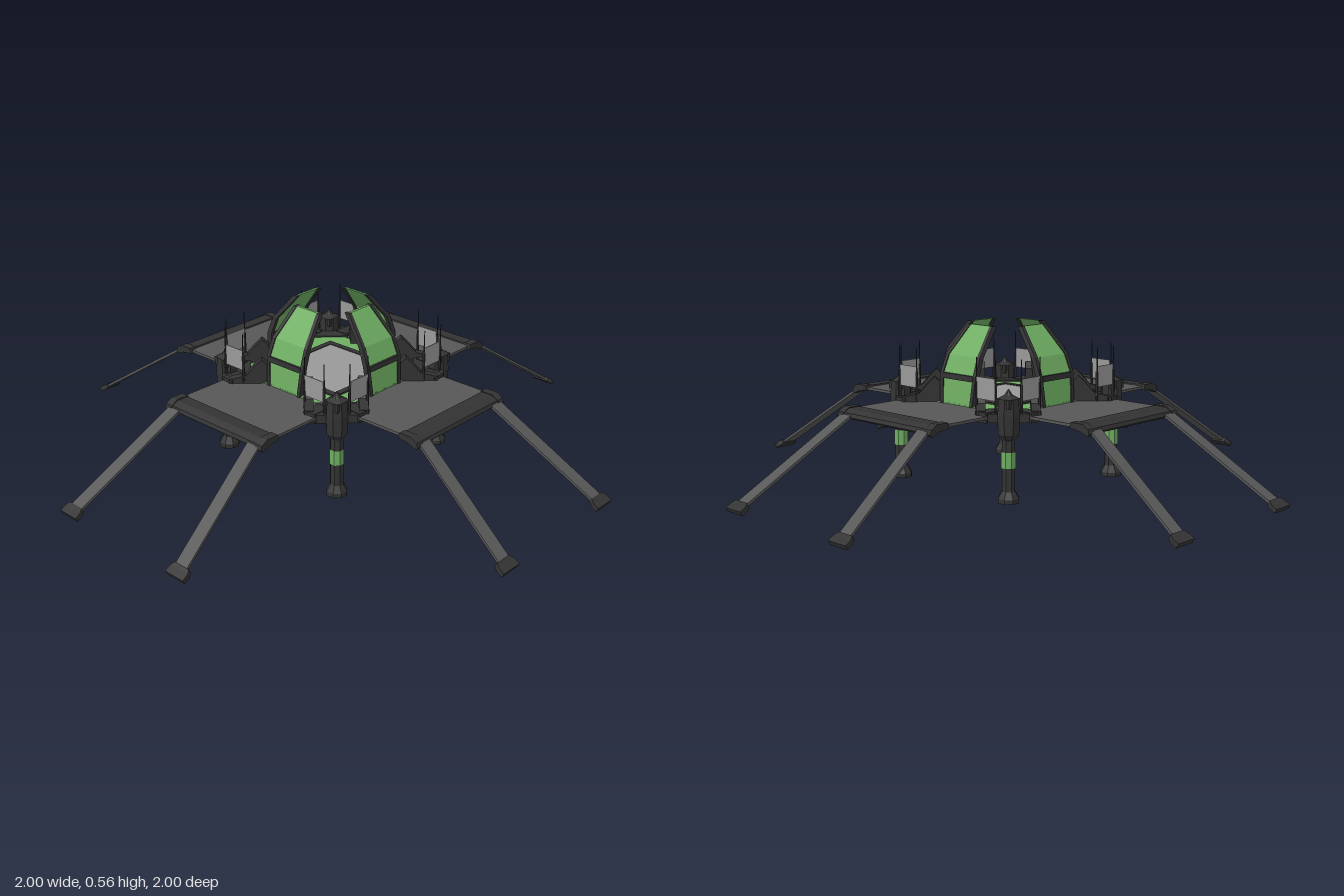
import * as THREE from 'three';

const paint = (color) => new THREE.MeshStandardMaterial({ color, flatShading: true });
const GREEN = paint(0x6fae62);
const DARK = paint(0x333333);
const GREY = paint(0x575757);
const LIGHT = paint(0x999999);

function add(parent, name, geometry, material, x = 0, y = 0, z = 0) {
  const mesh = new THREE.Mesh(geometry, material);
  mesh.name = name;
  mesh.position.set(x, y, z);
  parent.add(mesh);
  return mesh;
}

const box = (w, h, d) => new THREE.BoxGeometry(w, h, d);

// Closed slab through rows [x0, x1, y, z]; (dy, dz) leads to its second face
function slab(rows, dy, dz) {
  const loops = rows.map(([x0, x1, y, z]) => [
    [x0, y, z], [x1, y, z], [x1, y + dy, z + dz], [x0, y + dy, z + dz],
  ]);
  const points = [];
  const quad = (a, b, c, d) => points.push(...a, ...b, ...c, ...a, ...c, ...d);
  for (let i = 0; i < loops.length - 1; i++) {
    for (let k = 0; k < 4; k++) {
      const n = (k + 1) % 4;
      quad(loops[i][k], loops[i][n], loops[i + 1][n], loops[i + 1][k]);
    }
  }
  const first = loops[0], last = loops[loops.length - 1];
  quad(first[3], first[2], first[1], first[0]);
  quad(...last);
  const g = new THREE.BufferGeometry();
  g.setAttribute('position', new THREE.Float32BufferAttribute(points, 3));
  g.computeVertexNormals();
  return g;
}

function prism(points, depth) {
  const shape = new THREE.Shape(points.map(([x, y]) => new THREE.Vector2(x, y)));
  return new THREE.ExtrudeGeometry(shape, { depth, bevelEnabled: false }).translate(0, 0, -depth / 2);
}

function lathe(points, sides) {
  return new THREE.LatheGeometry(points.map(([r, y]) => new THREE.Vector2(r, y)), sides)
    .rotateY(Math.PI / sides);
}

// Square ring lying flat
function squareRing(outer, inner, height) {
  const square = (s) => [[-s, -s], [s, -s], [s, s], [-s, s]].map(([x, y]) => new THREE.Vector2(x, y));
  const shape = new THREE.Shape(square(outer));
  shape.holes.push(new THREE.Path(square(inner)));
  return new THREE.ExtrudeGeometry(shape, { depth: height, bevelEnabled: false }).rotateX(-Math.PI / 2);
}

// Dome petal: [half width, y, distance from centre]
const PETAL = [
  [0.066, 0.295, 0.25], [0.074, 0.40, 0.24], [0.07, 0.465, 0.215], [0.048, 0.565, 0.13],
];

function createPetal() {
  const petal = new THREE.Group();
  petal.name = 'domePetal';
  add(petal, 'petalPanel', slab(PETAL.map(([w, y, z]) => [-w, w, y, z]), 0, -0.01), GREEN);
  for (const s of [-1, 1]) {
    const rows = PETAL.map(([w, y, z]) => {
      const a = s * w, b = s * (w + 0.014);
      return [Math.min(a, b), Math.max(a, b), y, z + 0.004];
    });
    add(petal, 'petalFrame', slab(rows, 0, -0.02), DARK);
  }
  add(petal, 'petalBand', box(0.152, 0.02, 0.018), DARK, 0, 0.393, 0.238);
  return petal;
}

function createDeck() {
  const deck = new THREE.Group();
  deck.name = 'deck';
  add(deck, 'deckPanel', box(0.45, 0.01, 0.29), GREY, 0, 0.29, 0.385);

  // Rounded bar along the outer edge, with thicker end caps
  const profile = [[0.51, 0.284], [0.55, 0.279], [0.58, 0.268], [0.588, 0.275],
    [0.583, 0.288], [0.56, 0.3], [0.515, 0.3]];
  const bar = add(deck, 'deckEdge', prism(profile, 0.42), DARK);
  bar.rotation.y = -Math.PI / 2;
  for (const s of [-1, 1]) {
    const capProfile = profile.map(([z, y]) => [0.55 + (z - 0.55) * 1.07, 0.286 + (y - 0.286) * 1.2]);
    const cap = add(deck, 'deckEdgeCap', prism(capProfile, 0.03), DARK, s * 0.22);
    cap.rotation.y = -Math.PI / 2;

    // Thin splayed strut with a clamp foot
    const top = s * 0.193, end = s * 0.268;
    add(deck, 'strut', slab([
      [top - 0.026, top + 0.026, 0.278, 0.575],
      [end - 0.026, end + 0.026, 0.01, 0.985],
    ], 0.009, 0.003), GREY);
    add(deck, 'strutFoot', slab([
      [end - 0.032, end + 0.032, 0.022, 0.958],
      [end - 0.041, end + 0.041, 0.012, 0.972],
      [end - 0.041, end + 0.041, 0, 0.992],
    ], 0.015, 0.008), DARK);
  }
  return deck;
}

function createCorner() {
  const corner = new THREE.Group();
  corner.name = 'cornerPost';
  corner.position.set(0.27, 0, 0.27);
  add(corner, 'post', lathe([[0, 0.02], [0.024, 0.02], [0.024, 0.24], [0, 0.24]], 8), DARK);
  add(corner, 'postBand', lathe([[0.0265, 0.12], [0.0265, 0.175]], 8), GREEN);
  add(corner, 'postFoot', lathe([[0, 0], [0.038, 0], [0.038, 0.016], [0.024, 0.04]], 8), DARK);
  add(corner, 'postHead', lathe([[0.024, 0.215], [0.038, 0.235], [0.04, 0.3], [0.036, 0.355],
    [0.016, 0.365], [0, 0.388]], 8), DARK);
  add(corner, 'headCap', box(0.06, 0.03, 0.06), DARK, 0, 0.34, 0);
  const bridge = add(corner, 'cornerBridge', box(0.14, 0.03, 0.1), DARK, -0.025, 0.29, -0.025);
  bridge.rotation.y = Math.PI / 4;
  return corner;
}

// Buttress, antennas and screen on one side of a dome petal
function createFlank(s) {
  const flank = new THREE.Group();
  flank.name = 'flank';
  const buttress = add(flank, 'buttress', prism([[0, 0.278], [0.14, 0.278], [0.14, 0.31], [0.08, 0.325],
    [0.05, 0.36], [0.025, 0.385], [0, 0.36]], 0.032), DARK, s * 0.097, 0, 0.228);
  buttress.rotation.y = -Math.PI / 2 + s * Math.PI / 4;
  add(flank, 'clamp', box(0.05, 0.035, 0.07), DARK, s * 0.2, 0.29, 0.297);
  for (const x of [0.15, 0.24]) {
    add(flank, 'antenna', lathe([[0.005, 0.29], [0.005, 0.40], [0.0025, 0.405], [0.0015, 0.485]], 6),
      DARK, s * x, 0, 0.3);
  }
  add(flank, 'screen', box(0.085, 0.075, 0.003), LIGHT, s * 0.193, 0.382, 0.3);
  return flank;
}

export function createModel() {
  const model = new THREE.Group();
  model.name = 'landingShelter';

  // Base plate with cut corners, framed floor on top and hatch beneath
  const a = 0.25, c = 0.215;
  const plate = add(model, 'basePlate', prism([[a, -c], [a, c], [c, a], [-c, a], [-a, c],
    [-a, -c], [-c, -a], [c, -a]], 0.026), GREEN, 0, 0.287, 0);
  plate.rotation.x = -Math.PI / 2;
  add(model, 'floor', box(0.31, 0.004, 0.31), LIGHT, 0, 0.301, 0);
  add(model, 'floorFrame', squareRing(0.175, 0.153, 0.008), DARK, 0, 0.298, 0);
  add(model, 'hatch', box(0.29, 0.004, 0.29), GREY, 0, 0.273, 0);
  add(model, 'hatchFrame', squareRing(0.165, 0.143, 0.008), DARK, 0, 0.268, 0);

  for (let i = 0; i < 4; i++) {
    const quarter = new THREE.Group();
    quarter.name = 'quarter';
    quarter.rotation.y = i * Math.PI / 2;
    quarter.add(createPetal(), createDeck(), createCorner(), createFlank(-1), createFlank(1));
    model.add(quarter);
  }
  return model;
}
